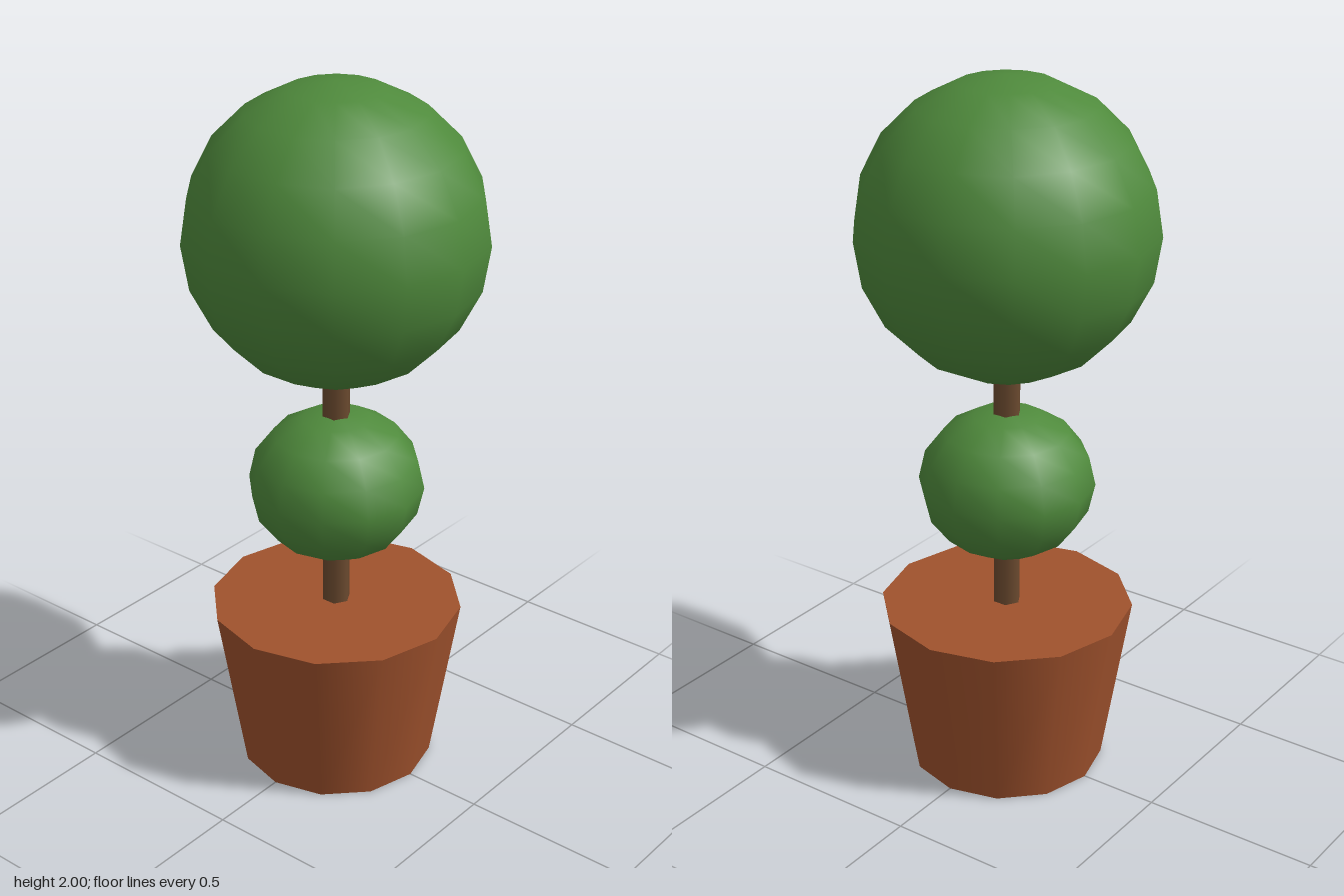
import * as THREE from 'three';

export function createModel() {
  const model = new THREE.Group();
  const leaf = new THREE.MeshStandardMaterial({ color: 0x4f8a3c });
  const bark = new THREE.MeshStandardMaterial({ color: 0x6b4a2f });
  const clay = new THREE.MeshStandardMaterial({ color: 0xa0522d });

  const add = (name, geometry, material, y) => {
    const mesh = new THREE.Mesh(geometry, material);
    mesh.name = name;
    mesh.position.y = y;
    model.add(mesh);
    return mesh;
  };

  // Tapered twelve-sided pot, closed at both ends
  add('pot', new THREE.CylinderGeometry(0.355, 0.275, 0.49, 12), clay, 0.245);

  // Six-sided trunk with corners on the x axis, running up into the crown
  const trunk = new THREE.CylinderGeometry(0.04, 0.04, 0.9, 6, 1, false, Math.PI / 2);
  add('trunk', trunk, bark, 0.92);

  // Slightly flattened lower ball
  add('lowerFoliage', new THREE.SphereGeometry(0.245, 12, 8), leaf, 0.86).scale.y = 0.875;

  // Large round crown
  add('crown', new THREE.SphereGeometry(0.41, 14, 10), leaf, 1.59);

  return model;
}
